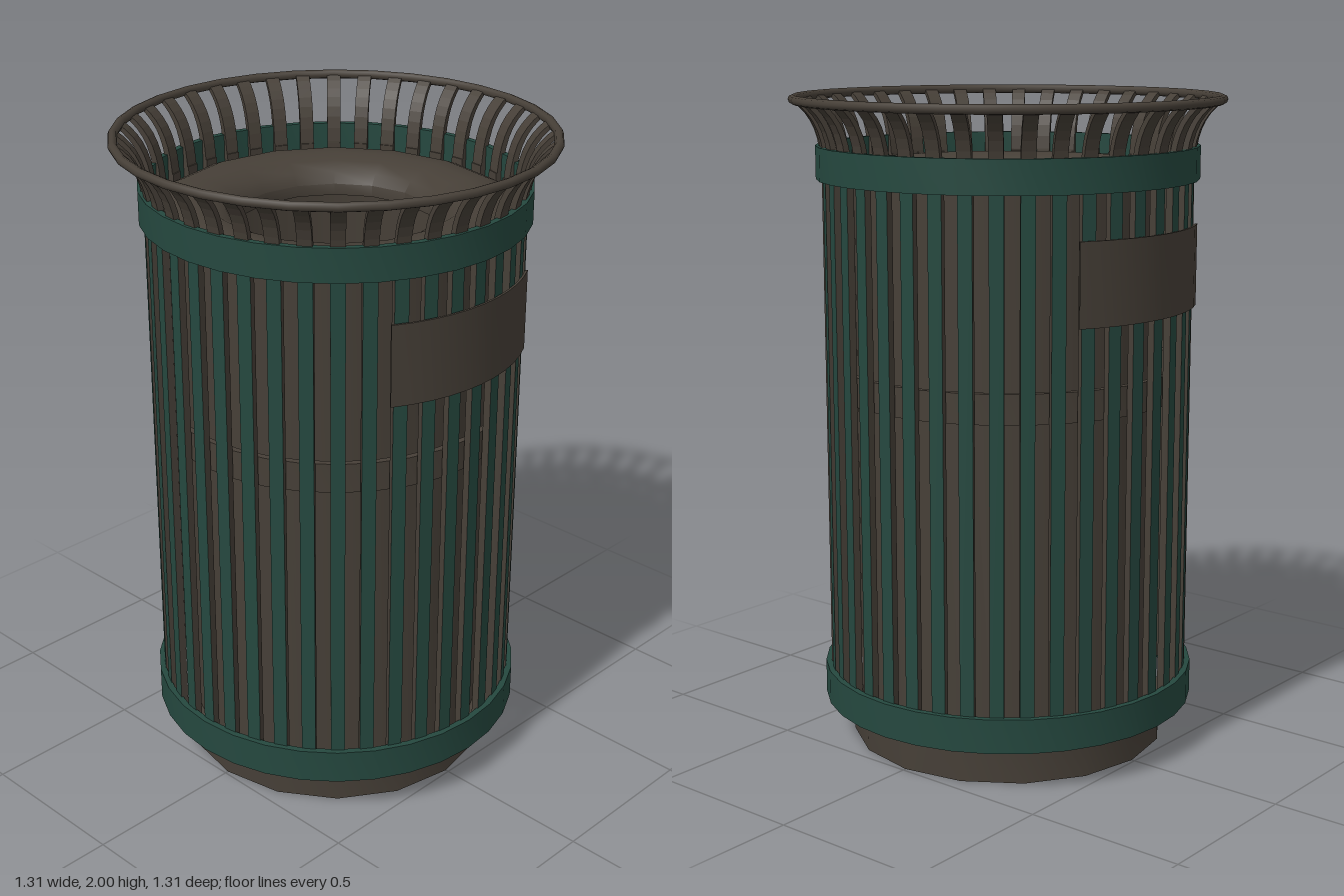
import * as THREE from 'three';
import { toCreasedNormals } from 'three/addons/utils/BufferGeometryUtils.js';

export function createModel() {
  const model = new THREE.Group();
  model.name = 'litterBin';

  const brown = new THREE.MeshStandardMaterial({ color: 0x463f37, side: THREE.DoubleSide });
  brown.name = 'dark brown metal';
  const green = new THREE.MeshStandardMaterial({ color: 0x25483f, side: THREE.DoubleSide });
  green.name = 'dark green paint';

  const add = (name, geometry, material, parent = model) => {
    const mesh = new THREE.Mesh(geometry, material);
    mesh.name = name;
    parent.add(mesh);
    return mesh;
  };

  // Revolved part from a profile of [radius, height] pairs
  const turned = (profile, sides, start = 0, sweep = Math.PI * 2) =>
    toCreasedNormals(
      new THREE.LatheGeometry(profile.map(([r, y]) => new THREE.Vector2(r, y)), sides, start, sweep), 0.7);

  // Closed ring with a rectangular section
  const ring = (inner, outer, y0, y1, sides) =>
    turned([[inner, y0], [outer, y0], [outer, y1], [inner, y1], [inner, y0]], sides);

  // Base with an open, stepped underside
  add('base', turned([[0.38, 0.13], [0.38, 0.09], [0.45, 0.09], [0.45, 0], [0.49, 0],
    [0.49, 0.13], [0.38, 0.13]], 16), brown);

  // Inner container and lid with a sunken opening
  add('liner', turned([[0.465, 0.12], [0.465, 1.77]], 32), brown);
  add('lid', turned([[0.545, 1.75], [0.53, 1.775], [0.49, 1.792], [0.43, 1.797], [0.37, 1.787],
    [0.325, 1.765], [0.3, 1.735], [0.3, 1.7]], 16), brown);

  // Hoops
  add('middleHoop', ring(0.515, 0.535, 1.1, 1.19, 32), brown);
  add('lowerBand', ring(0.558, 0.578, 0.13, 0.235, 32), green);
  add('upperBand', ring(0.558, 0.578, 1.75, 1.85, 32), green);

  // Slats, painted on the outer face, each ending in a flared strut
  const count = 40;
  const slatWidth = 0.042;
  const slatShape = new THREE.BoxGeometry(slatWidth, 1.64, 0.022);
  slatShape.translate(0, 0.97, 0.549);
  const slatColours = [brown, brown, brown, brown, green, brown];

  const outerEdge = new THREE.CubicBezierCurve(
    new THREE.Vector2(0.56, 1.75), new THREE.Vector2(0.56, 1.88),
    new THREE.Vector2(0.585, 1.94), new THREE.Vector2(0.648, 1.985)).getPoints(8);
  const innerEdge = outerEdge.map((p, i) => new THREE.Vector2(p.x - 0.02 + i * 0.0008, p.y + i * 0.0008));
  const strutShape = new THREE.ExtrudeGeometry(
    new THREE.Shape([...outerEdge, ...innerEdge.reverse()]),
    { depth: slatWidth, bevelEnabled: false });
  strutShape.translate(0, 0, -slatWidth / 2);
  strutShape.rotateY(-Math.PI / 2);

  const slats = new THREE.Group();
  slats.name = 'slats';
  const struts = new THREE.Group();
  struts.name = 'flaredStruts';
  model.add(slats, struts);
  for (let i = 0; i < count; i++) {
    const angle = (i / count) * Math.PI * 2;
    add('slat', slatShape, slatColours, slats).rotation.y = angle;
    add('flaredStrut', strutShape, brown, struts).rotation.y = angle;
  }

  // Top rim
  const rim = new THREE.TorusGeometry(0.642, 0.014, 8, 32);
  rim.rotateX(Math.PI / 2);
  rim.translate(0, 1.986, 0);
  add('rim', rim, brown);

  // Curved plates on the front and back
  const half = 0.53;
  const plate = turned([[0.566, 1.375], [0.573, 1.375], [0.573, 1.62], [0.566, 1.62], [0.566, 1.375]],
    10, -half, half * 2);
  add('frontPlate', plate, brown);
  add('backPlate', plate, brown).rotation.y = Math.PI;

  return model;
}
